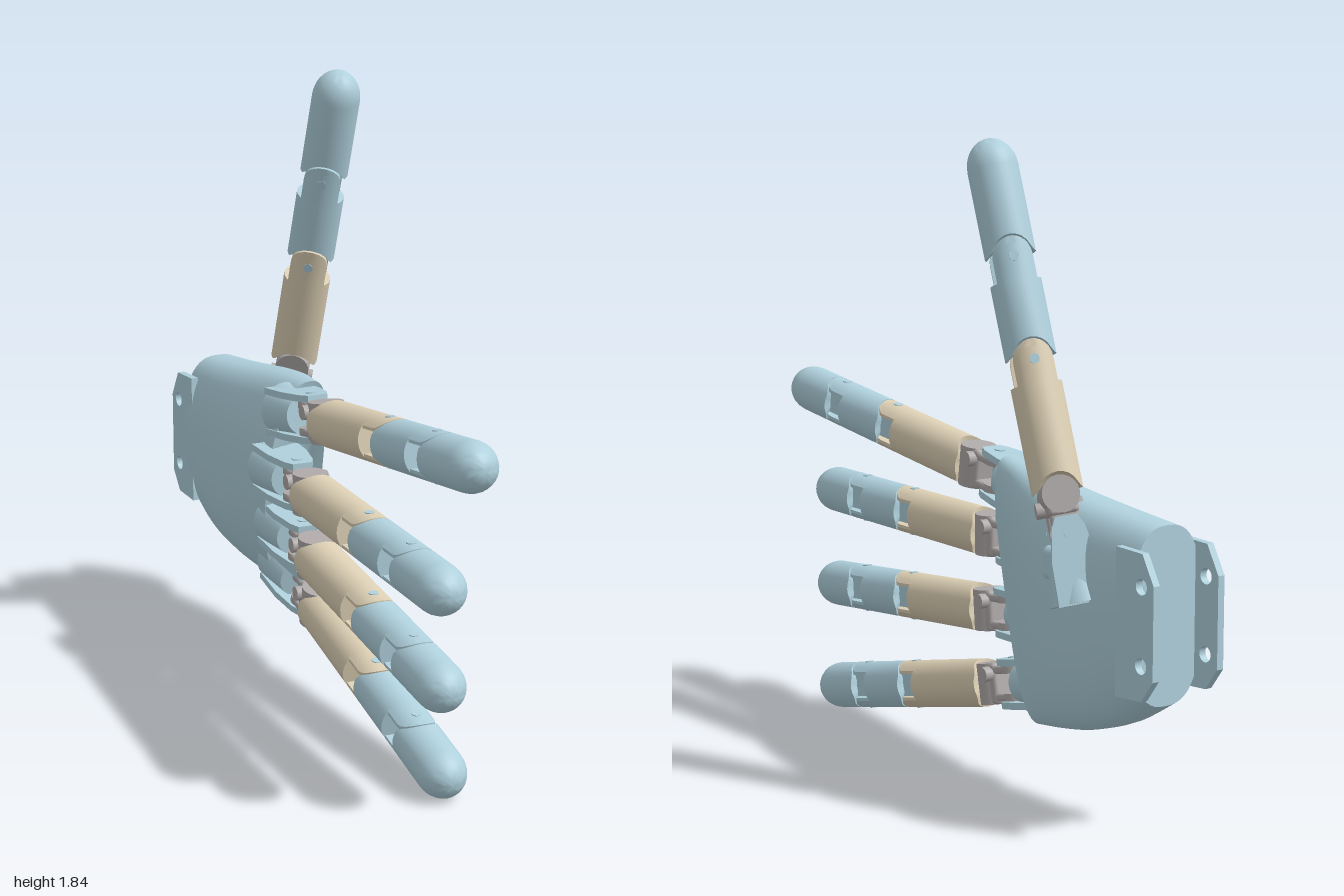
import * as THREE from 'three';
import { toCreasedNormals } from 'three/addons/utils/BufferGeometryUtils.js';
import { RoundedBoxGeometry } from 'three/addons/geometries/RoundedBoxGeometry.js';

const blue = new THREE.MeshStandardMaterial({ color: 0xafd0dc });
const tan = new THREE.MeshStandardMaterial({ color: 0xdccfb4 });
const grey = new THREE.MeshStandardMaterial({ color: 0xb0aaaa });
const R = 0.071; // finger radius
const FORK = 0.036; // half width of the slot in each fork
const EAR = 0.055; // radius of a fork ear

function add(parent, name, geometry, material, x = 0, y = 0, z = 0) {
  const mesh = new THREE.Mesh(geometry, material);
  mesh.name = name;
  mesh.position.set(x, y, z);
  parent.add(mesh);
  return mesh;
}

// Skin closed rings (counter-clockwise seen from +z, running towards +z) and cap both ends
function loft(rings, crease = 0.6) {
  const n = rings[0].length, pos = [], idx = [];
  rings.forEach(r => r.forEach(p => pos.push(p.x, p.y, p.z)));
  for (let i = 0; i < rings.length - 1; i++)
    for (let j = 0; j < n; j++) {
      const a = i * n + j, b = i * n + (j + 1) % n;
      idx.push(a, b, b + n, a, b + n, a + n);
    }
  [0, rings.length - 1].forEach(i => {
    const c = rings[i].reduce((s, p) => s.add(p), new THREE.Vector3()).divideScalar(n);
    const k = pos.length / 3;
    pos.push(c.x, c.y, c.z);
    for (let j = 0; j < n; j++) {
      const a = i * n + j, b = i * n + (j + 1) % n;
      idx.push(k, ...(i ? [a, b] : [b, a]));
    }
  });
  const g = new THREE.BufferGeometry();
  g.setAttribute('position', new THREE.Float32BufferAttribute(pos, 3));
  g.setIndex(idx);
  return toCreasedNormals(g, crease);
}

// Round segment along z, its near end scooped around the joint at z = joint
function barrel(joint, end, rounded) {
  const pts = [[0, joint], [R, joint]];
  if (rounded) {
    const cap = 0.085;
    for (let i = 0; i <= 8; i++) {
      const a = i / 8 * Math.PI / 2;
      pts.push([R * Math.cos(a), end - cap + cap * Math.sin(a)]);
    }
  } else pts.push([R, end], [0, end]);
  const g = new THREE.LatheGeometry(pts.map(p => new THREE.Vector2(Math.max(p[0], 0), p[1])), 28);
  g.rotateX(Math.PI / 2);
  const p = g.attributes.position;
  for (let i = 0; i < p.count; i++)
    if (p.getZ(i) < joint + 1e-5)
      p.setZ(i, joint + Math.sqrt(Math.max(0.06 ** 2 - p.getY(i) ** 2, 0.012 ** 2)));
  return toCreasedNormals(g, 0.6);
}

// Fork ear on the +x side: a slice of the barrel with a rounded end
function ear() {
  const rings = [-0.07, -0.02, 0, 0.015, 0.03, 0.04, 0.048, 0.053, 0.0548].map(z => {
    const phi = Math.asin((z < 0 ? EAR : Math.sqrt(EAR ** 2 - z * z)) / R);
    const ring = [];
    for (let i = 0; i <= 8; i++) {
      const a = phi * (i / 4 - 1);
      ring.push(new THREE.Vector3(R * Math.cos(a), R * Math.sin(a), z));
    }
    ring.push(new THREE.Vector3(FORK, R * Math.sin(phi), z), new THREE.Vector3(FORK, -R * Math.sin(phi), z));
    return ring;
  });
  return loft(rings);
}

const pin = (r, len) => new THREE.CylinderGeometry(r, r, len, 20).rotateZ(Math.PI / 2);

// Hinge at z: ears of the nearer segment, tongue of the farther one
function hinge(parent, z, nearMat, farMat) {
  for (let s = 0; s < 2; s++) add(parent, 'forkEar', ear(), nearMat, 0, 0, z).rotation.z = s * Math.PI;
  add(parent, 'tongueEnd', pin(0.034, FORK * 1.85), farMat, 0, 0, z);
  add(parent, 'tongue', new THREE.BoxGeometry(FORK * 1.85, 0.068, 0.08), farMat, 0, 0, z + 0.04);
  add(parent, 'hingePin', pin(0.014, R * 2.04), farMat, 0, 0, z);
}

// Finger from its knuckle to its tip; pinAxis is the direction of the hinge pins
function finger(name, base, tip, pinAxis, mid, last) {
  const f = new THREE.Group();
  f.name = name;
  const from = new THREE.Vector3(...base), dir = new THREE.Vector3(...tip).sub(from);
  const len = dir.length();
  dir.normalize();
  const px = new THREE.Vector3(...pinAxis);
  px.addScaledVector(dir, -px.dot(dir)).normalize();
  f.quaternion.setFromRotationMatrix(new THREE.Matrix4().makeBasis(px, dir.clone().cross(px), dir));
  f.position.copy(from);

  add(f, 'lowerSegment', barrel(0, mid - 0.065), tan);
  hinge(f, mid, tan, blue);
  add(f, 'middleSegment', barrel(mid, last - 0.065), blue);
  hinge(f, last, blue, blue);
  add(f, 'fingertip', barrel(last, len, true), blue);

  // Universal joint between finger and palm
  add(f, 'knuckleBarrel', pin(0.052, 0.12), grey);
  add(f, 'knuckleBlock', new RoundedBoxGeometry(0.12, 0.085, 0.06, 2, 0.012), grey, 0, 0, -0.025);
  add(f, 'knuckleLug', new THREE.CylinderGeometry(0.022, 0.022, 0.13, 16), grey, 0.03, 0, -0.03);
  for (const s of [-1, 1]) {
    add(f, 'knuckleCheek', new RoundedBoxGeometry(0.024, 0.08, 0.1, 2, 0.01), grey, s * 0.04, 0, -0.07);
    add(f, 'knuckleCheekEnd', pin(0.04, 0.022), grey, s * 0.04, 0, -0.105);
    // Palm bracket arm, widening towards the palm
    const arm = [[-0.3, 0.066], [-0.18, 0.062], [-0.09, 0.045], [-0.06, 0.03]].map(([z, h]) => {
      const x0 = s * 0.062 - 0.01, x1 = s * 0.062 + 0.01;
      return [[x0, -h], [x1, -h], [x1, h], [x0, h]].map(([x, y]) => new THREE.Vector3(x, y, z));
    });
    add(f, 'bracketArm', loft(arm), blue);
  }
  add(f, 'bracketPin', pin(0.016, 0.15), blue, 0, 0, -0.105);
  add(f, 'bracketBase', new THREE.CylinderGeometry(0.06, 0.082, 0.14, 24).rotateX(Math.PI / 2), blue, 0, 0, -0.225);
  return f;
}

// Palm: rounded sections from wrist to knuckles, fanned and arched at the front
function palm() {
  const curve = v => {
    const c = new THREE.CatmullRomCurve3(v.map((y, i) => new THREE.Vector3(i, y, 0)));
    return u => c.getPoint(u).y;
  };
  const top = curve([0.855, 0.875, 0.9, 0.925, 0.945]);
  const bottom = curve([0.365, 0.295, 0.255, 0.235, 0.22]);
  const centre = curve([0.04, 0.04, 0.04, 0.02, -0.022]);
  const half = curve([0.125, 0.135, 0.14, 0.125, 0.092]);
  const pow = (c, e) => Math.sign(c) * Math.abs(c) ** e;
  const rings = [];
  for (let i = 0; i <= 16; i++) {
    const u = i / 16, ring = [];
    for (let j = 0; j < 56; j++) {
      const a = j / 56 * Math.PI * 2;
      const v = 0.5 + 0.5 * pow(Math.sin(a), 0.8);
      const arch = u * u * 0.235 * (v - 0.62) ** 2;
      ring.push(new THREE.Vector3(
        centre(u) + half(u) * pow(Math.cos(a), 0.75) + arch,
        THREE.MathUtils.lerp(bottom(u), top(u), v),
        -0.91 + u * (0.71 - 0.23 * (1 - v) ** 2)));
    }
    rings.push(ring);
  }
  return loft(rings, 0.8);
}

// Wrist plate with chamfered corners and two screw holes
function wristPlate() {
  const s = new THREE.Shape([[0.85, 0.4], [0.955, 0.405], [1, 0.465], [1, 0.72], [0.955, 0.8], [0.85, 0.805]]
    .map(p => new THREE.Vector2(...p)));
  for (const y of [0.5, 0.712]) s.holes.push(new THREE.Path().absarc(0.952, y, 0.022, 0, Math.PI * 2, true));
  const g = new THREE.ExtrudeGeometry(s, { depth: 0.022, bevelEnabled: false, curveSegments: 16 });
  return g.rotateY(Math.PI / 2); // shape x becomes -z, depth becomes +x
}

export function createModel() {
  const hand = new THREE.Group();
  hand.name = 'mechanicalHand';
  add(hand, 'palm', palm(), blue);
  add(hand, 'wristPlateBack', wristPlate(), blue, -0.082);
  add(hand, 'wristPlateFront', wristPlate(), blue, 0.145);
  add(hand, 'thumbMount', new RoundedBoxGeometry(0.12, 0.1, 0.17, 3, 0.025), blue, 0.125, 0.715, -0.635);

  const up = [0, 1, 0];
  hand.add(
    finger('indexFinger', [-0.045, 0.885, 0.02], [-0.09, 1.015, 1], up, 0.43, 0.72),
    finger('middleFinger', [-0.095, 0.675, 0.01], [-0.17, 0.675, 0.98], up, 0.43, 0.71),
    finger('ringFinger', [-0.06, 0.462, -0.03], [-0.14, 0.373, 0.93], up, 0.43, 0.71),
    finger('littleFinger', [0, 0.268, -0.13], [-0.07, 0.06, 0.82], up, 0.43, 0.71),
    finger('thumb', [0.15, 0.9, -0.59], [0.15, 1.845, -0.275], [-0.5, 0, 0.87], 0.37, 0.655));
  return hand;
}
